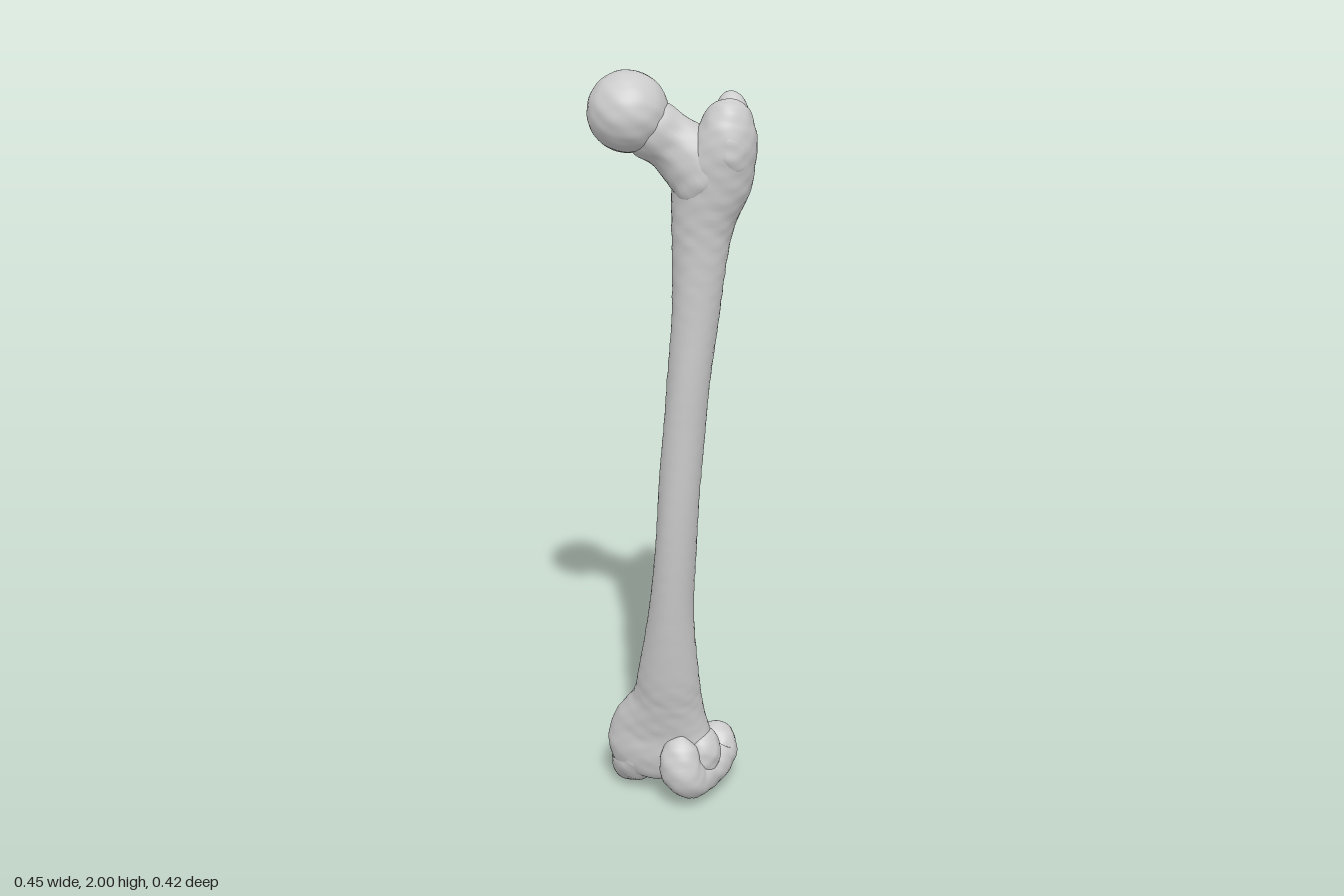
import * as THREE from 'three';

const bone = new THREE.MeshStandardMaterial({ color: 0xcccccc });
const lateral = new THREE.Vector3(0.94, 0, -0.34);

// Gentle lumps that give the bone ends their uneven surface
function lumps(p) {
  return Math.sin(p.x * 71 + p.y * 43) * Math.sin(p.y * 67 - p.z * 59 + 1) +
    0.6 * Math.sin(p.z * 131 + p.x * 97) * Math.sin(p.y * 149 + 2);
}

// Sweep an ellipse through rows of [x, y, z, half width along side, half depth]
function sweep(name, rows, side, { steps = 40, sides = 40, rough = 0.002, shape = () => 1 } = {}) {
  const path = new THREE.CatmullRomCurve3(rows.map(r => new THREE.Vector3(r[0], r[1], r[2])), false, 'catmullrom', 0.5);
  const radii = new THREE.CatmullRomCurve3(rows.map(r => new THREE.Vector3(r[3], r[4], 0)), false, 'catmullrom', 0.5);
  const pos = [], index = [];
  for (let i = 0; i <= steps; i++) {
    const t = i / steps, c = path.getPoint(t), r = radii.getPoint(t), tan = path.getTangent(t);
    const u = side.clone().addScaledVector(tan, -side.dot(tan)).normalize();
    const v = u.clone().cross(tan).normalize();
    for (let j = 0; j < sides; j++) {
      const a = j / sides * Math.PI * 2, k = shape(a, t);
      const d = u.clone().multiplyScalar(Math.max(r.x, 0.0005) * k * Math.cos(a))
        .addScaledVector(v, Math.max(r.y, 0.0005) * k * Math.sin(a));
      const p = c.clone().add(d);
      p.addScaledVector(d.clone().normalize(), rough * lumps(p) * Math.min(1, d.length() / 0.03));
      pos.push(p.x, p.y, p.z);
      if (i < steps) {
        const n = (j + 1) % sides, A = i * sides + j, B = A + sides, C = i * sides + n, D = C + sides;
        index.push(A, B, C, C, B, D);
      }
    }
  }
  const g = new THREE.BufferGeometry();
  g.setAttribute('position', new THREE.Float32BufferAttribute(pos, 3));
  g.setIndex(index);
  g.computeVertexNormals();
  const m = new THREE.Mesh(g, bone);
  m.name = name;
  return m;
}

// Uneven ellipsoid
function knob(name, [x, y, z], [rx, ry, rz], tilt = 0) {
  const rows = [];
  for (let i = 0; i <= 12; i++) {
    const a = -Math.PI / 2 + i / 12 * Math.PI;
    rows.push([x + tilt * Math.sin(a), y + ry * Math.sin(a), z, rx * Math.cos(a), rz * Math.cos(a)]);
  }
  return sweep(name, rows, lateral, { steps: 36 });
}

export function createModel() {
  const model = new THREE.Group();
  model.name = 'thighBone';

  // Shaft, flaring into the knee end below and the hip end above, with a ridge down the back
  model.add(sweep('shaft', [
    [-0.045, 0.052, -0.02, 0, 0],
    [-0.045, 0.066, -0.018, 0.1, 0.045],
    [-0.048, 0.13, -0.018, 0.145, 0.066],
    [-0.044, 0.2, -0.022, 0.138, 0.07],
    [-0.02, 0.3, -0.011, 0.096, 0.07],
    [-0.003, 0.4, 0.008, 0.08, 0.066],
    [0.021, 0.6, 0.03, 0.058, 0.06],
    [0.042, 0.8, 0.04, 0.052, 0.06],
    [0.0575, 1.0, 0.0425, 0.052, 0.0575],
    [0.0725, 1.2, 0.0375, 0.052, 0.0575],
    [0.0875, 1.4, 0.0275, 0.057, 0.0575],
    [0.095, 1.55, 0.02, 0.066, 0.06],
    [0.1, 1.65, 0.012, 0.078, 0.07],
    [0.12, 1.75, 0.004, 0.095, 0.078],
    [0.148, 1.83, -0.002, 0.078, 0.077],
    [0.152, 1.88, -0.012, 0.062, 0.07],
    [0.148, 1.915, -0.025, 0.042, 0.05],
    [0.145, 1.925, -0.03, 0, 0],
  ], lateral, {
    steps: 150, sides: 56, rough: 0.0012,
    shape: (a, t) => 1 + 0.09 * Math.exp(-(((a - Math.PI * 1.5) / 0.25) ** 2)) *
      THREE.MathUtils.smoothstep(t, 0.25, 0.4) * (1 - THREE.MathUtils.smoothstep(t, 0.65, 0.8)),
  }));

  // Ball of the hip joint, with a shallow pit on its inner side
  const ball = new THREE.SphereGeometry(0.095, 64, 48);
  const p = new THREE.Vector3(), pit = new THREE.Vector3(-0.93, -0.15, -0.33).normalize();
  const pts = ball.attributes.position;
  for (let i = 0; i < pts.count; i++) {
    p.fromBufferAttribute(pts, i);
    const off = p.angleTo(pit);
    p.multiplyScalar(1 + 0.01 * lumps(p) - 0.1 * Math.exp(-((off / 0.2) ** 2)));
    pts.setXYZ(i, p.x, p.y, p.z);
  }
  ball.computeVertexNormals();
  const head = new THREE.Mesh(ball, bone);
  head.name = 'head';
  head.position.set(-0.043, 1.905, 0.117);
  model.add(head);

  // Neck between the ball and the top of the shaft
  model.add(sweep('neck', [
    [-0.035, 1.895, 0.11, 0.06, 0.06],
    [0.005, 1.865, 0.087, 0.065, 0.07],
    [0.045, 1.832, 0.06, 0.056, 0.069],
    [0.09, 1.79, 0.036, 0.06, 0.085],
    [0.13, 1.75, 0.015, 0.062, 0.09],
    [0.16, 1.72, 0, 0, 0],
  ], new THREE.Vector3(0.5, 0, 0.86)));

  // Large outer knob, its raised back crest and the small inner knob
  model.add(knob('greaterTrochanter', [0.162, 1.83, -0.005], [0.058, 0.092, 0.074], -0.012));
  model.add(knob('trochanterTip', [0.14, 1.885, -0.05], [0.04, 0.06, 0.04], -0.012));
  model.add(knob('lesserTrochanter', [0.032, 1.67, -0.022], [0.038, 0.065, 0.036]));
  model.add(sweep('trochantericCrest', [
    [0.035, 1.63, -0.01, 0, 0],
    [0.04, 1.68, -0.025, 0.032, 0.026],
    [0.085, 1.76, -0.045, 0.04, 0.034],
    [0.125, 1.83, -0.055, 0.038, 0.034],
    [0.14, 1.89, -0.055, 0.03, 0.03],
    [0.14, 1.92, -0.055, 0, 0],
  ], lateral));

  // Two rounded knee runners, curling up at the back
  model.add(sweep('innerCondyle', [
    [-0.075, 0.19, 0.015, 0, 0],
    [-0.085, 0.16, 0.015, 0.04, 0.03],
    [-0.105, 0.105, 0.005, 0.058, 0.052],
    [-0.14, 0.063, -0.025, 0.064, 0.06],
    [-0.163, 0.075, -0.07, 0.062, 0.06],
    [-0.17, 0.11, -0.09, 0.056, 0.058],
    [-0.17, 0.15, -0.085, 0.045, 0.045],
    [-0.165, 0.18, -0.07, 0, 0],
  ], lateral, { steps: 56 }));
  model.add(sweep('outerCondyle', [
    [0.035, 0.22, 0.005, 0, 0],
    [0.038, 0.18, 0.015, 0.045, 0.035],
    [0.045, 0.12, 0.02, 0.057, 0.052],
    [0.053, 0.08, -0.01, 0.058, 0.058],
    [0.053, 0.08, -0.07, 0.06, 0.06],
    [0.05, 0.088, -0.12, 0.062, 0.064],
    [0.045, 0.11, -0.15, 0.058, 0.062],
    [0.04, 0.145, -0.142, 0.045, 0.045],
    [0.038, 0.17, -0.12, 0, 0],
  ], lateral, { steps: 60 }));

  // Side swellings above the runners
  model.add(knob('innerEpicondyle', [-0.165, 0.135, -0.045], [0.055, 0.07, 0.06], 0.012));
  model.add(knob('outerEpicondyle', [0.06, 0.14, -0.06], [0.05, 0.07, 0.06], -0.005));
  return model;
}
